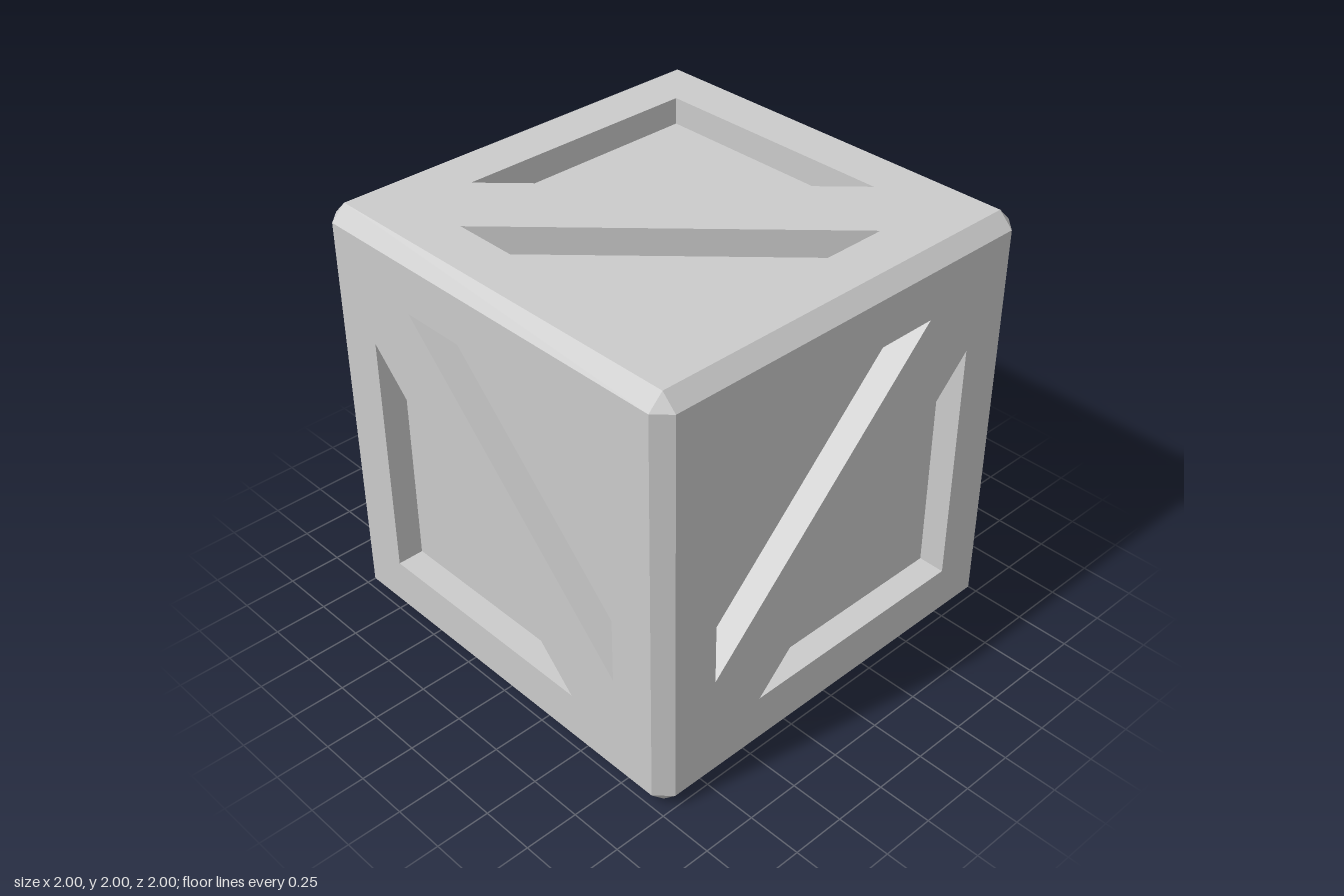
import * as THREE from 'three';
import { mergeGeometries } from 'three/addons/utils/BufferGeometryUtils.js';

const H = Math.PI / 2;
const C = 0.933;      // half size of the flat faces, inside the chamfer
const DEPTH = 0.125;  // depth of the recesses
const A = 0.715, B = 0.455; // recess corner and tip

const material = new THREE.MeshStandardMaterial({ color: 0xcccccc, flatShading: true });

// Flat polygon (3 or 4 corners, counter-clockwise seen from outside)
function polygon(points) {
  const pos = [];
  for (let i = 1; i < points.length - 1; i++) pos.push(...points[0], ...points[i], ...points[i + 1]);
  const g = new THREE.BufferGeometry();
  g.setAttribute('position', new THREE.Float32BufferAttribute(pos, 3));
  g.computeVertexNormals();
  return g;
}

function part(name, geometries) {
  const mesh = new THREE.Mesh(mergeGeometries(geometries), material);
  mesh.name = name;
  return mesh;
}

// One side of the crate, facing +z, with a diagonal brace from top left to bottom right
function createSide(name) {
  const side = new THREE.Group();
  side.name = name;
  const frame = new THREE.Shape([[-C, -C], [C, -C], [C, C], [-C, C]].map(p => new THREE.Vector2(...p)));
  const walls = [], floors = [];
  for (const s of [1, -1]) {
    const tri = [[A, A], [-B, A], [A, -B]].map(([x, y]) => [s * x, s * y]);
    frame.holes.push(new THREE.Path(tri.map(p => new THREE.Vector2(...p))));
    floors.push(polygon(tri.map(p => [...p, 1 - DEPTH])));
    tri.forEach((p, i) => {
      const q = tri[(i + 1) % 3];
      walls.push(polygon([[...p, 1], [...q, 1], [...q, 1 - DEPTH], [...p, 1 - DEPTH]]));
    });
  }
  side.add(
    part('frameAndBrace', [new THREE.ShapeGeometry(frame).translate(0, 0, 1)]),
    part('recessWalls', walls),
    part('recessPanels', floors)
  );
  return side;
}

export function createModel() {
  const crate = new THREE.Group();
  crate.name = 'crate';

  // Six braced sides; the front brace runs the other way
  const sides = {
    frontSide: [0, 0, H], backSide: [0, 2 * H, 0],
    leftSide: [0, H, 0], rightSide: [0, -H, 0],
    topSide: [-H, 0, 0], bottomSide: [H, 0, 0],
  };
  for (const [name, rotation] of Object.entries(sides)) {
    const side = createSide(name);
    side.rotation.set(...rotation);
    side.position.y = 1;
    crate.add(side);
  }

  // Chamfered edges along each axis, and the small corner facets
  const edges = [], corners = [];
  for (let k = 0; k < 4; k++) {
    const strip = () => polygon([[1, C, -C], [C, 1, -C], [C, 1, C], [1, C, C]]).rotateZ(k * H);
    edges.push(strip(), strip().rotateX(H), strip().rotateY(H));
    for (const flip of [0, 2 * H]) {
      corners.push(polygon([[1, C, C], [C, 1, C], [C, C, 1]]).rotateZ(k * H).rotateX(flip));
    }
  }
  for (const mesh of [part('chamferedEdges', edges), part('cornerFacets', corners)]) {
    mesh.position.y = 1;
    crate.add(mesh);
  }
  return crate;
}
